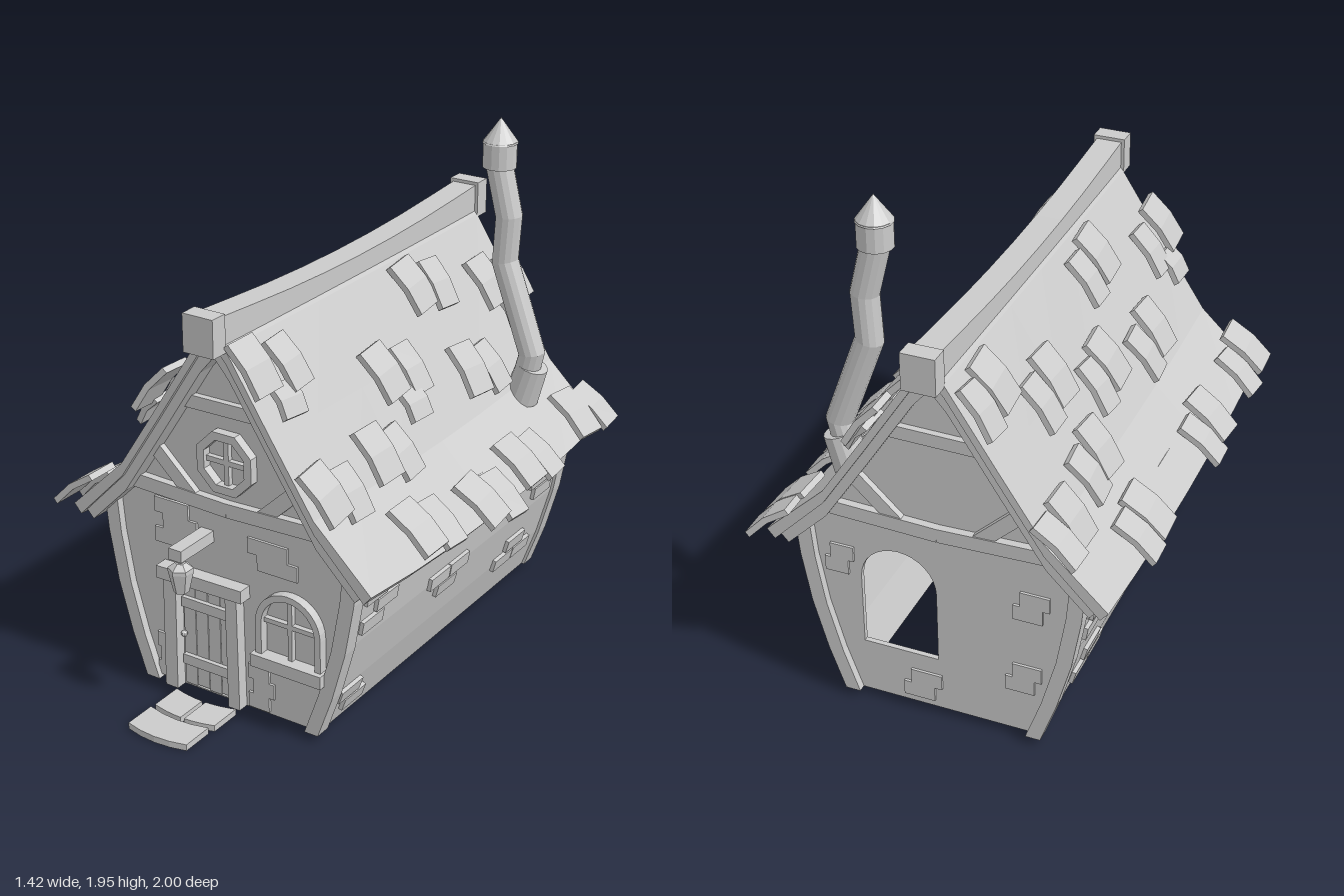
import * as THREE from 'three';

const material = new THREE.MeshStandardMaterial({ color: 0xcccccc, flatShading: true, side: THREE.DoubleSide });

// Profiles as [key, value] pairs: roof height by x, wall half-width by y
const ROOF = [[0, 1.53], [0.06, 1.46], [0.24, 1.18], [0.41, 0.92], [0.64, 0.7]];
const WALL = [[0.03, 0.37], [0.2, 0.43], [0.4, 0.485], [0.6, 0.52], [0.76, 0.535]];

function sample(points, key) {
  let i = 1;
  while (i < points.length - 1 && key > points[i][0]) i++;
  const [a, b] = [points[i - 1], points[i]];
  const slope = (b[1] - a[1]) / (b[0] - a[0]);
  return { value: a[1] + slope * (key - a[0]), slope };
}

// The roof dips towards the middle of its length, most at the eaves
const sag = (z) => 0.05 * (Math.min(1, ((z + 0.09) / 0.84) ** 2) - 1);
const roofSag = (x, z) => sag(z) * Math.min(1, Math.abs(x) / 0.64);

function bend(geometry, rule) {
  const p = geometry.attributes.position;
  const v = new THREE.Vector3();
  for (let i = 0; i < p.count; i++) {
    rule(v.fromBufferAttribute(p, i));
    p.setXYZ(i, v.x, v.y, v.z);
  }
  geometry.computeVertexNormals();
  return geometry;
}

const shapeOf = (points) => new THREE.Shape(points.map(([x, y]) => new THREE.Vector2(x, y)));

function extrude(shape, z0, z1, steps = 1) {
  const options = { depth: z1 - z0, steps, bevelEnabled: false, curveSegments: 8 };
  return new THREE.ExtrudeGeometry(shape, options).translate(0, 0, z0);
}

// Closed outline, symmetric in x, from the upper and lower edge of one half
function chevron(upper, lower) {
  const flip = (pts) => pts.slice(1).map(([x, y]) => [-x, y]);
  return shapeOf([...upper, ...[...lower].reverse(), ...flip(lower), ...flip(upper).reverse()]);
}

function arch(Target, x, halfWidth, bottom, spring) {
  const s = new Target();
  s.moveTo(x - halfWidth, bottom);
  s.lineTo(x + halfWidth, bottom);
  s.lineTo(x + halfWidth, spring);
  s.absarc(x, spring, halfWidth, 0, Math.PI, false);
  s.closePath();
  return s;
}

export function createModel() {
  const house = new THREE.Group();
  house.name = 'cottage';

  const add = (name, geometry, x = 0, y = 0, z = 0, rz = 0) => {
    const mesh = new THREE.Mesh(geometry, material);
    mesh.name = name;
    mesh.position.set(x, y, z);
    mesh.rotation.z = rz;
    house.add(mesh);
  };
  const box = (name, w, h, d, x, y, z, rz) => add(name, new THREE.BoxGeometry(w, h, d), x, y, z, rz);
  const bar = (name, x0, y0, x1, y1, w, d, z) =>
    box(name, Math.hypot(x1 - x0, y1 - y0), w, d, (x0 + x1) / 2, (y0 + y1) / 2, z, Math.atan2(y1 - y0, x1 - x0));

  // End walls: door opening at the front, arched opening at the back
  const half = [...WALL.map(([y, x]) => [x, y]), [0.4, 0.88], [0.24, 1.12], [0, 1.44]];
  const outline = [...half, ...half.slice(0, -1).reverse().map(([x, y]) => [-x, y])];
  const front = shapeOf(outline);
  front.holes.push(shapeOf([[-0.22, 0.035], [0, 0.035], [0, 0.48], [-0.22, 0.48]]));
  add('frontWall', extrude(front, 0.64, 0.66));
  const back = shapeOf(outline);
  back.holes.push(arch(THREE.Path, 0.165, 0.145, 0.25, 0.54));
  add('backWall', extrude(back, -0.87, -0.85));

  // Curved side walls and corner posts
  const strip = (s, outer, inner) => shapeOf([
    ...WALL.map(([y, x]) => [s * (x + outer), y]),
    ...[...WALL].reverse().map(([y, x]) => [s * (x - inner), y]),
  ]);
  for (const s of [-1, 1]) {
    add('sideWall', extrude(strip(s, 0, 0.02), -0.86, 0.65));
    for (const [z0, z1] of [[0.625, 0.69], [-0.9, -0.84]])
      add('cornerPost', extrude(strip(s, 0.012, 0.045), z0, z1));
  }

  // Roof slab, barge boards and ridge beam
  const lowered = (d) => ROOF.slice(0, -1).map(([x, y]) => [x, y - d]);
  const roofShape = chevron(ROOF, [...lowered(0.05), [0.61, 0.665]]);
  add('roof', bend(extrude(roofShape, -0.935, 0.75, 6), (v) => { v.y += roofSag(v.x, v.z); }));
  const board = chevron([...lowered(0.045), [0.6, 0.69]], [...lowered(0.115), [0.565, 0.65]]);
  for (const [z0, z1] of [[0.65, 0.735], [-0.92, -0.86]]) add('bargeBoard', extrude(board, z0, z1));
  const ridge = new THREE.BoxGeometry(0.1, 0.12, 1.76, 1, 1, 8).translate(0, 1.52, -0.09);
  add('ridgeBeam', bend(ridge, (v) => { v.y += sag(v.z) * 0.8; }));
  for (const z of [0.785, -0.965]) box('ridgeCap', 0.125, 0.14, 0.07, 0, 1.52, z);

  // Gable timbers on both ends
  for (const z of [0.67, -0.88]) {
    for (const s of [-1, 1]) {
      bar('tieBeam', 0, 0.82, s * 0.46, 0.835, 0.055, 0.04, z);
      bar('brace', s * 0.15, 0.83, s * 0.34, 1.01, 0.055, 0.03, z);
    }
    bar('collarBeam', -0.2, 1.2, 0.2, 1.205, 0.05, 0.03, z);
  }

  // Octagonal gable window
  const octagon = (r) => shapeOf(Array.from({ length: 8 }, (_, i) => {
    const a = (i + 0.5) * Math.PI / 4;
    return [r * Math.cos(a), 1 + r * Math.sin(a)];
  }));
  const ring = octagon(0.125);
  ring.holes.push(octagon(0.092));
  add('gableWindowFrame', extrude(ring, 0.655, 0.695));
  bar('gableWindowBar', -0.1, 1, 0.1, 1, 0.02, 0.02, 0.67);
  bar('gableWindowBar', 0, 0.91, 0, 1.09, 0.02, 0.02, 0.67);

  // Arched front window
  const frame = arch(THREE.Shape, 0.26, 0.138, 0.27, 0.422);
  frame.holes.push(arch(THREE.Path, 0.26, 0.113, 0.29, 0.422));
  add('windowFrame', extrude(frame, 0.655, 0.695));
  bar('windowBar', 0.15, 0.43, 0.37, 0.43, 0.018, 0.02, 0.67);
  bar('windowBar', 0.26, 0.28, 0.26, 0.535, 0.018, 0.02, 0.67);
  box('windowSill', 0.3, 0.05, 0.06, 0.26, 0.27, 0.685);

  // Plank door with frame
  for (let i = 0; i < 4; i++)
    box('doorPlank', 0.052, 0.43 - (i % 2) * 0.012, 0.03, -0.192 + i * 0.055, 0.255, 0.65);
  for (const y of [0.15, 0.39]) box('doorBatten', 0.21, 0.04, 0.02, -0.11, y, 0.672);
  add('doorKnob', new THREE.SphereGeometry(0.013, 8, 6), -0.205, 0.26, 0.685);
  bar('doorPost', -0.255, 0.03, -0.25, 0.49, 0.055, 0.07, 0.67);
  bar('doorPost', 0.028, 0.03, 0.022, 0.49, 0.05, 0.07, 0.67);
  bar('doorLintel', -0.3, 0.503, 0.075, 0.508, 0.05, 0.08, 0.675);

  // Lantern on a bracket
  box('lanternBracket', 0.055, 0.045, 0.2, -0.105, 0.685, 0.75);
  box('lanternHook', 0.02, 0.04, 0.02, -0.105, 0.65, 0.82);
  const lamp = [[0, 0.53], [0.028, 0.53], [0.046, 0.61], [0.046, 0.625], [0.02, 0.645], [0, 0.645]];
  add('lantern', new THREE.LatheGeometry(lamp.map(([x, y]) => new THREE.Vector2(x, y)), 6), -0.105, 0, 0.82);

  // Stepping stones in a gentle arc [x, z, width, depth]
  for (const [x, z, w, d] of [[-0.11, 0.93, 0.26, 0.13], [-0.17, 0.78, 0.13, 0.13], [-0.03, 0.78, 0.12, 0.13]]) {
    const stone = new THREE.BoxGeometry(w, 0.025, d, 4, 1, 1).translate(x, 0.0125, z);
    add('steppingStone', bend(stone, (v) => { v.z -= 0.02 * (((v.x + 0.11) / 0.13) ** 2 - 0.3); }));
  }

  // Raised bricks on the side walls, in clusters [z, y] of rows of [dz, dy]
  const ragged = [[0, 0], [-0.08, -0.06], [0, -0.12]];
  const hanging = [[0.07, 0], [-0.07, 0], [0, -0.06]];
  const standing = [[0, 0], [0.07, -0.06], [-0.07, -0.06]];
  const sideClusters = [[0.53, 0.585, ragged], [-0.68, 0.525, [[-0.07, 0.06], [0, 0], [-0.04, -0.06]]],
    [-0.02, 0.41, hanging], [-0.6, 0.27, standing], [0.55, 0.17, [[0, 0], [-0.05, -0.06]]]];
  for (const s of [-1, 1]) for (const [z, y, cluster] of sideClusters) for (const [dz, dy] of cluster) {
    const w = sample(WALL, y + dy);
    box('sideBrick', 0.03, 0.052, 0.135, s * w.value, y + dy, z + dz, -s * Math.atan(w.slope));
  }

  // Staggered brick stacks on the end walls [x, top, width, courses]
  const stacks = (name, z, list) => {
    for (const [x, top, w, courses] of list) for (let i = 0; i < courses; i++)
      box(name, w, 0.06, 0.012, x + (i % 2 ? 0.12 : -0.12) * w, top - i * 0.06, z);
  };
  stacks('frontBrick', 0.664, [[-0.24, 0.75, 0.15, 3], [0.18, 0.7, 0.17, 2], [0.125, 0.19, 0.09, 3], [-0.31, 0.19, 0.05, 3]]);
  stacks('backBrick', -0.874, [[0.39, 0.63, 0.09, 2], [-0.34, 0.62, 0.11, 2], [-0.31, 0.3, 0.11, 2], [0.08, 0.15, 0.12, 2]]);

  // One bowed shingle lying on the roof
  let count = 0;
  const shingle = (x, z, w, len) => {
    const s = Math.sign(x);
    const r = sample(ROOF, Math.abs(x));
    const angle = Math.atan(-r.slope);
    const tile = new THREE.BoxGeometry(len, 0.024, w, 2, 1, 1);
    bend(tile, (v) => { v.y += 0.012 * (1 - (2 * v.x / len) ** 2); });
    tile.rotateY(0.1 * Math.sin(count * 2.4));
    const lift = 0.026 + 0.008 * (count++ % 2);
    add('shingle', tile, x + s * lift * Math.sin(angle), r.value + roofSag(x, z) + lift * Math.cos(angle), z, -s * (angle - 0.08));
  };

  // Shingle pairs [x, z] on each slope; those marked 1 have a small third tile below
  const pairs = {
    left: [[0.12, 0.61, 1], [0.245, 0, 1], [0.13, -0.38], [0.2, -0.83, 1], [0.385, 0.605], [0.37, 0.25],
      [0.33, -0.46], [0.565, 0.29], [0.6, -0.1], [0.58, -0.42], [0.58, -0.87]],
    right: [[-0.42, -0.83], [-0.13, -0.8], [-0.575, -0.47], [-0.38, -0.465], [-0.215, -0.48], [-0.285, -0.13],
      [-0.13, 0.165], [-0.33, 0.255], [-0.585, 0.215], [-0.58, 0.675], [-0.205, 0.665, 1]],
  };
  for (const [x, z, third] of [...pairs.left, ...pairs.right]) {
    const gap = third ? 0.08 : 0.066;
    const step = 0.01 * Math.sign(x);
    shingle(x - step, z + gap, 0.14, 0.21);
    shingle(x + step, z - gap, 0.115, 0.2);
    if (third) shingle(x + 7 * step, z, 0.12, 0.13);
  }

  // Crooked chimney pipe: a cylinder whose rows follow a bent path
  const path = [[0.42, 0.86], [0.465, 1.05], [0.335, 1.4], [0.345, 1.58], [0.295, 1.78]].map(([x, y]) => new THREE.Vector2(x, y));
  const n = path.length - 1;
  const pipe = new THREE.CylinderGeometry(0.052, 0.052, 1, 14, n);
  add('chimneyPipe', bend(pipe, (v) => {
    const k = Math.round((v.y + 0.5) * n);
    const dir = path[Math.min(n, k + 1)].clone().sub(path[Math.max(0, k - 1)]).normalize();
    v.set(path[k].x + dir.y * v.x, path[k].y - dir.x * v.x, v.z);
  }), 0, 0, -0.67);
  add('chimneyCollar', new THREE.CylinderGeometry(0.062, 0.068, 0.15, 14), 0.445, 0.925, -0.675, -0.3);
  add('chimneyCap', new THREE.CylinderGeometry(0.065, 0.065, 0.1, 14), 0.297, 1.815, -0.67);
  add('chimneyTip', new THREE.ConeGeometry(0.068, 0.095, 14), 0.297, 1.907, -0.67);

  return house;
}
